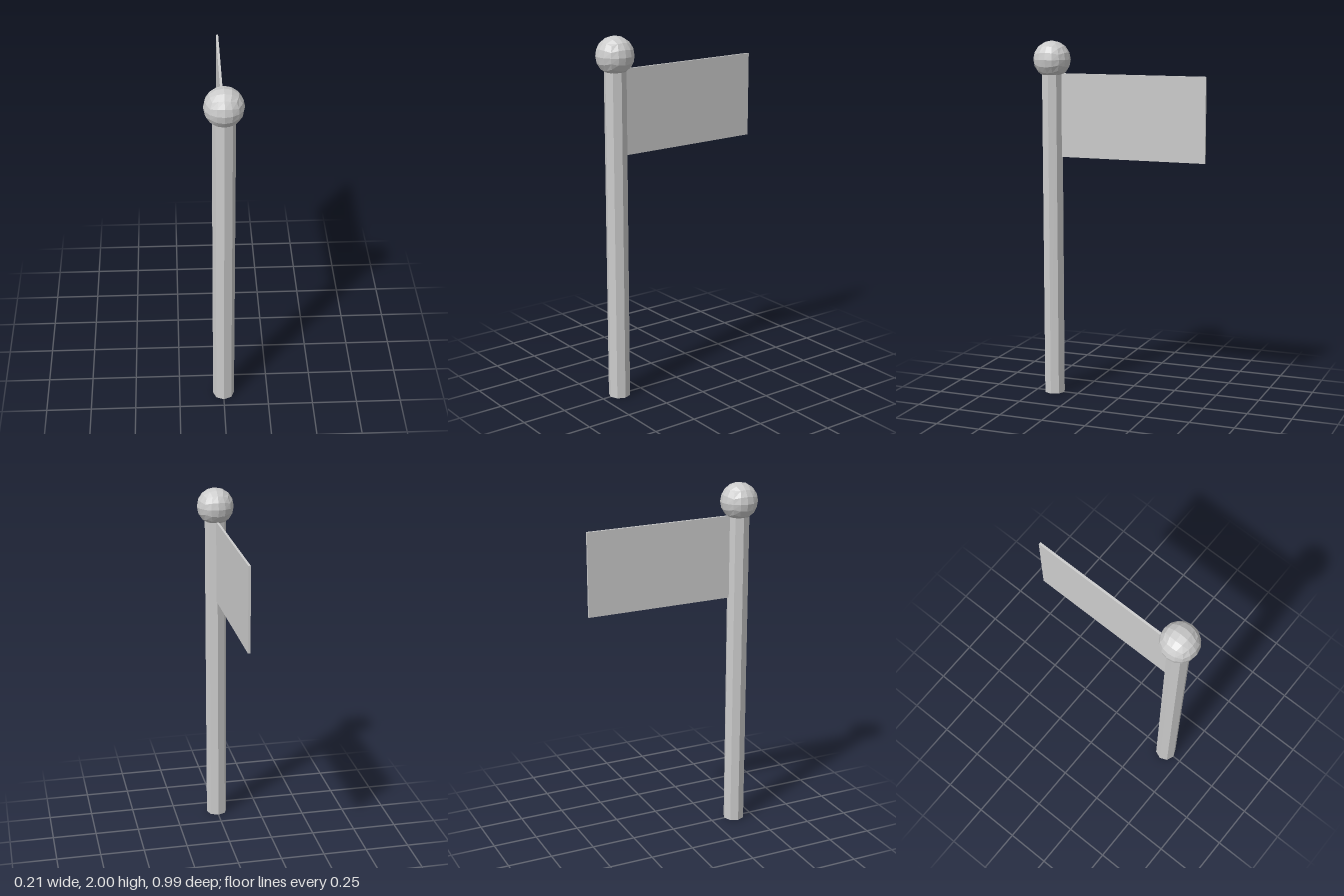
import * as THREE from 'three';

const POLE_Z = 0.392;

// Box grid bent into a sphere with evenly spaced quads
function quadSphere(radius, segments) {
  const geometry = new THREE.BoxGeometry(2, 2, 2, segments, segments, segments);
  const position = geometry.attributes.position;
  const v = new THREE.Vector3();
  const warp = (t) => Math.tan((t * Math.PI) / 4);
  for (let i = 0; i < position.count; i++) {
    v.fromBufferAttribute(position, i);
    v.set(warp(v.x), warp(v.y), warp(v.z)).setLength(radius);
    position.setXYZ(i, v.x, v.y, v.z);
  }
  geometry.computeVertexNormals();
  return geometry;
}

export function createModel() {
  const group = new THREE.Group();
  group.name = 'flagpole';
  const material = new THREE.MeshStandardMaterial({ color: 0xcccccc, flatShading: true });

  const add = (name, geometry, x, y, z) => {
    const mesh = new THREE.Mesh(geometry, material);
    mesh.name = name;
    mesh.position.set(x, y, z);
    group.add(mesh);
  };

  // Octagonal pole, its top tucked into the ball
  const poleHeight = 1.82;
  add('pole', new THREE.CylinderGeometry(0.06, 0.06, poleHeight, 8), 0, poleHeight / 2, POLE_Z);

  // Ball on top
  add('finial', quadSphere(0.103, 4), 0, 1.897, POLE_Z);

  // Thin flat flag reaching back from the pole
  const flagBack = -0.495, flagFront = 0.34, flagBottom = 1.36, flagTop = 1.822;
  add('flag', new THREE.BoxGeometry(0.013, flagTop - flagBottom, flagFront - flagBack),
    0, (flagTop + flagBottom) / 2, (flagFront + flagBack) / 2);

  return group;
}
